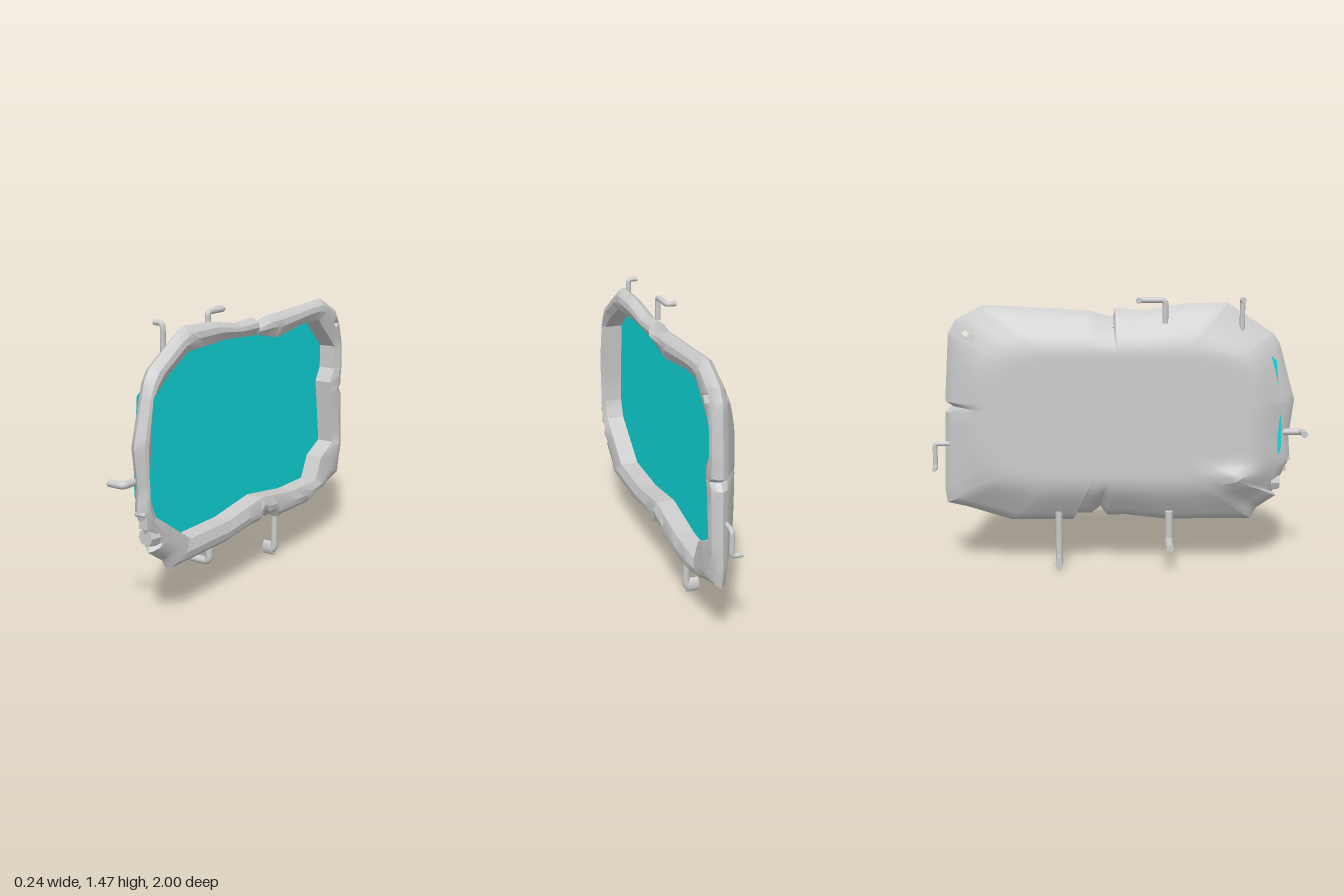
import * as THREE from 'three';
import { toCreasedNormals } from 'three/addons/utils/BufferGeometryUtils.js';

const CY = 0.85; // height of the panel centre
const grey = new THREE.MeshStandardMaterial({ color: 0xcccccc });
const cyan = new THREE.MeshStandardMaterial({ color: 0x10d8da, side: THREE.DoubleSide });

// Outlines as [z, y]: battered outer edge and screen opening
const OUTER = [
  [0.57, 1.44], [0.36, 1.435], [0.14, 1.4], [-0.02, 1.41], [-0.03, 1.365], [-0.17, 1.4], [-0.71, 1.43],
  [-0.86, 1.35], [-0.9, 1.28], [-0.925, 0.92], [-0.89, 0.895], [-0.925, 0.86], [-0.94, 0.44], [-0.93, 0.36],
  [-0.82, 0.335], [-0.58, 0.26], [-0.25, 0.26], [-0.25, 0.295], [-0.15, 0.295], [-0.1, 0.335], [-0.065, 0.285],
  [0.04, 0.285], [0.25, 0.26], [0.72, 0.26], [0.75, 0.32], [0.855, 0.39], [0.835, 0.415], [0.925, 0.6],
  [0.915, 0.72], [0.94, 0.92], [0.855, 1.22], [0.82, 1.275],
];
const INNER = [
  [0.56, 1.32], [0.25, 1.335], [-0.02, 1.32], [-0.215, 1.28], [-0.5, 1.32], [-0.64, 1.32], [-0.83, 1.14],
  [-0.83, 1.01], [-0.785, 0.935], [-0.83, 0.57], [-0.7, 0.505], [-0.64, 0.38], [-0.39, 0.38], [-0.08, 0.425],
  [0.225, 0.38], [0.56, 0.38], [0.83, 0.57], [0.865, 0.665], [0.865, 0.79], [0.83, 1.14], [0.72, 1.23],
];

// Distance from the centre to an outline along angle a
function reach(poly, a) {
  const c = Math.cos(a), s = Math.sin(a);
  let best = 0;
  poly.forEach(([z0, y0], i) => {
    const [z1, y1] = poly[(i + 1) % poly.length];
    const dz = z1 - z0, dy = y1 - y0, den = c * dy - s * dz;
    if (Math.abs(den) < 1e-9) return;
    const r = (z0 * dy - (y0 - CY) * dz) / den;
    const u = (z0 * s - (y0 - CY) * c) / den;
    if (r > 0 && u > -1e-6 && u < 1 + 1e-6) best = Math.max(best, r);
  });
  return best;
}

// Rounded-rectangle boundary of the flat back
const flatReach = (a) =>
  (Math.abs(Math.cos(a) / 0.69) ** 5 + Math.abs(Math.sin(a) / 0.345) ** 5) ** -0.2;

// Swollen lower corner on the back
const bulge = (z, y) =>
  0.05 * Math.exp(-(((z - 0.64) / 0.12) ** 2) - ((y - 0.53) / (y > 0.53 ? 0.05 : 0.12)) ** 2);

function housingGeometry() {
  // Spokes pass through every corner, plus even spacing and the hole's two sides
  const holeA = Math.atan2(1.285 - CY, -0.82), h0 = holeA - 0.024, h1 = holeA + 0.024;
  let angles = [...OUTER, ...INNER].map(([z, y]) => Math.atan2(y - CY, z));
  for (let i = 0; i < 96; i++) angles.push(-Math.PI + (i * Math.PI) / 48);
  angles = angles.filter((a) => a < h0 - 0.002 || a > h1 + 0.002).concat(h0, h1).sort((p, q) => p - q);
  angles = angles.filter((a, i) => i === 0 || a - angles[i - 1] > 1e-4);
  const n = angles.length, hole = angles.indexOf(h0);

  // Rings from the foot of the recess over the rim and round to the back centre
  // kind, blend, x
  const rings = [
    ['front', 1, 0], ['front', 1, 0.1], ['front', 0.56, 0.118], ['front', 0.28, 0.112], ['front', 0.1, 0.092],
    ['front', 0, 0.068], ['back', 0.08, 0.038], ['back', 0.2, 0.018], ['back', 0.4, -0.012], ['back', 0.62, -0.045],
    ['back', 0.82, -0.066], ['back', 1, -0.074], ['flat', 0.92, -0.076], ['flat', 0.84, -0.076],
    ['flat', 0.72, -0.076], ['flat', 0.4, -0.076], ['flat', 0.001, -0.076],
  ];
  const pts = rings.map(([kind, t, x]) => angles.map((a) => {
    const o = reach(OUTER, a);
    const r = kind === 'flat' ? flatReach(a) * t
      : THREE.MathUtils.lerp(o, kind === 'front' ? reach(INNER, a) : flatReach(a), t);
    const z = r * Math.cos(a), y = CY + r * Math.sin(a);
    return [kind === 'front' ? x : x - bulge(z, y), y, z];
  }));

  const pos = [];
  const quad = (a, b, c, d) => pos.push(...a, ...b, ...d, ...b, ...c, ...d);
  const FRONT = 2, BACK = 7; // ring bands pierced by the hole
  for (let i = 0; i < rings.length - 1; i++) {
    for (let j = 0; j < n; j++) {
      if (j === hole && (i === FRONT || i === BACK)) continue;
      const k = (j + 1) % n;
      quad(pts[i][j], pts[i][k], pts[i + 1][k], pts[i + 1][j]);
    }
  }
  // Walls of the square hole through the corner
  const k = hole + 1;
  const f = [pts[FRONT][hole], pts[FRONT][k], pts[FRONT + 1][k], pts[FRONT + 1][hole]];
  const b = [pts[BACK + 1][hole], pts[BACK + 1][k], pts[BACK][k], pts[BACK][hole]];
  for (let i = 0; i < 4; i++) quad(f[i], f[(i + 1) % 4], b[(i + 1) % 4], b[i]);

  const g = new THREE.BufferGeometry();
  g.setAttribute('position', new THREE.Float32BufferAttribute(pos, 3));
  return toCreasedNormals(g, 0.5);
}

// Bent rod with rounded elbows and flat ends
function bentRod(name, radius, points) {
  const p = points.map((q) => new THREE.Vector3(...q));
  const path = new THREE.CurvePath();
  let from = p[0];
  for (let i = 1; i < p.length - 1; i++) {
    const toward = (q) => p[i].clone().add(q.clone().sub(p[i]).setLength(radius * 1.5));
    const a = toward(p[i - 1]), b = toward(p[i + 1]);
    path.add(new THREE.LineCurve3(from, a));
    path.add(new THREE.QuadraticBezierCurve3(a, p[i], b));
    from = b;
  }
  path.add(new THREE.LineCurve3(from, p[p.length - 1]));
  const group = new THREE.Group();
  group.name = name;
  group.add(new THREE.Mesh(new THREE.TubeGeometry(path, 48, radius, 12), grey));
  for (const [end, next] of [[p[0], p[1]], [p[p.length - 1], p[p.length - 2]]]) {
    const cap = new THREE.Mesh(new THREE.CircleGeometry(radius, 12), grey);
    cap.position.copy(end);
    cap.lookAt(end.clone().multiplyScalar(2).sub(next));
    group.add(cap);
  }
  group.children.forEach((m, i) => { m.name = i ? 'rodEnd' : 'rod'; });
  return group;
}

export function createModel() {
  const model = new THREE.Group();
  model.name = 'wallScreen';
  const add = (name, geometry, material, x = 0, y = 0, z = 0) => {
    const mesh = new THREE.Mesh(geometry, material);
    mesh.name = name;
    mesh.position.set(x, y, z);
    model.add(mesh);
    return mesh;
  };

  add('housing', housingGeometry(), grey);

  // Recessed screen facing +x
  const shape = new THREE.Shape(INNER.map(([z, y]) => new THREE.Vector2(-z, y)));
  add('screen', new THREE.ShapeGeometry(shape).rotateY(Math.PI / 2), cyan, 0.002);

  // Small worn fitting on the lower front edge
  const boss = new THREE.CylinderGeometry(0.042, 0.055, 0.05, 8).rotateX(Math.PI / 2);
  add('edgeBoss', toCreasedNormals(boss, 0.4), grey, 0.068, 0.47, 0.845);
  add('edgeTab', new THREE.BoxGeometry(0.05, 0.06, 0.04), grey, 0.085, 0.555, 0.885);
  add('edgePin', new THREE.CylinderGeometry(0.013, 0.013, 0.06, 10).rotateZ(Math.PI / 2), grey, 0.08, 0.6, 0.912);

  // Mounting rods round the edge
  model.add(
    bentRod('topFrontRod', 0.014, [[-0.035, 1.46, 0.645], [0.015, 1.46, 0.645], [0.015, 1.3, 0.645]]),
    bentRod('topMiddleRod', 0.015, [[-0.07, 1.46, 0.1], [-0.02, 1.46, 0.1], [-0.02, 1.46, 0.24], [-0.02, 1.34, 0.24]]),
    bentRod('frontRod', 0.018, [[-0.05, 0.75, 0.982], [0.035, 0.75, 0.982], [0.035, 0.75, 0.87]]),
    bentRod('backRod', 0.013, [[-0.01, 0.56, -0.985], [0.045, 0.56, -0.985], [0.045, 0.69, -0.985], [0.045, 0.69, -0.88]]),
    bentRod('bottomFrontRod', 0.021, [[-0.12, 0.147, 0.27], [0, 0.147, 0.27], [0, 0.32, 0.27]]),
    bentRod('bottomBackRod', 0.019, [[-0.04, 0.03, -0.325], [0.022, 0.03, -0.325], [0.022, 0.32, -0.325]]),
  );
  // Flattened foot of the longest rod
  const foot = new THREE.CylinderGeometry(0.019, 0.019, 0.065, 16).rotateZ(Math.PI / 2).scale(1, 2.1, 1);
  add('rodFoot', foot, grey, -0.012, 0.04, -0.325);
  return model;
}
